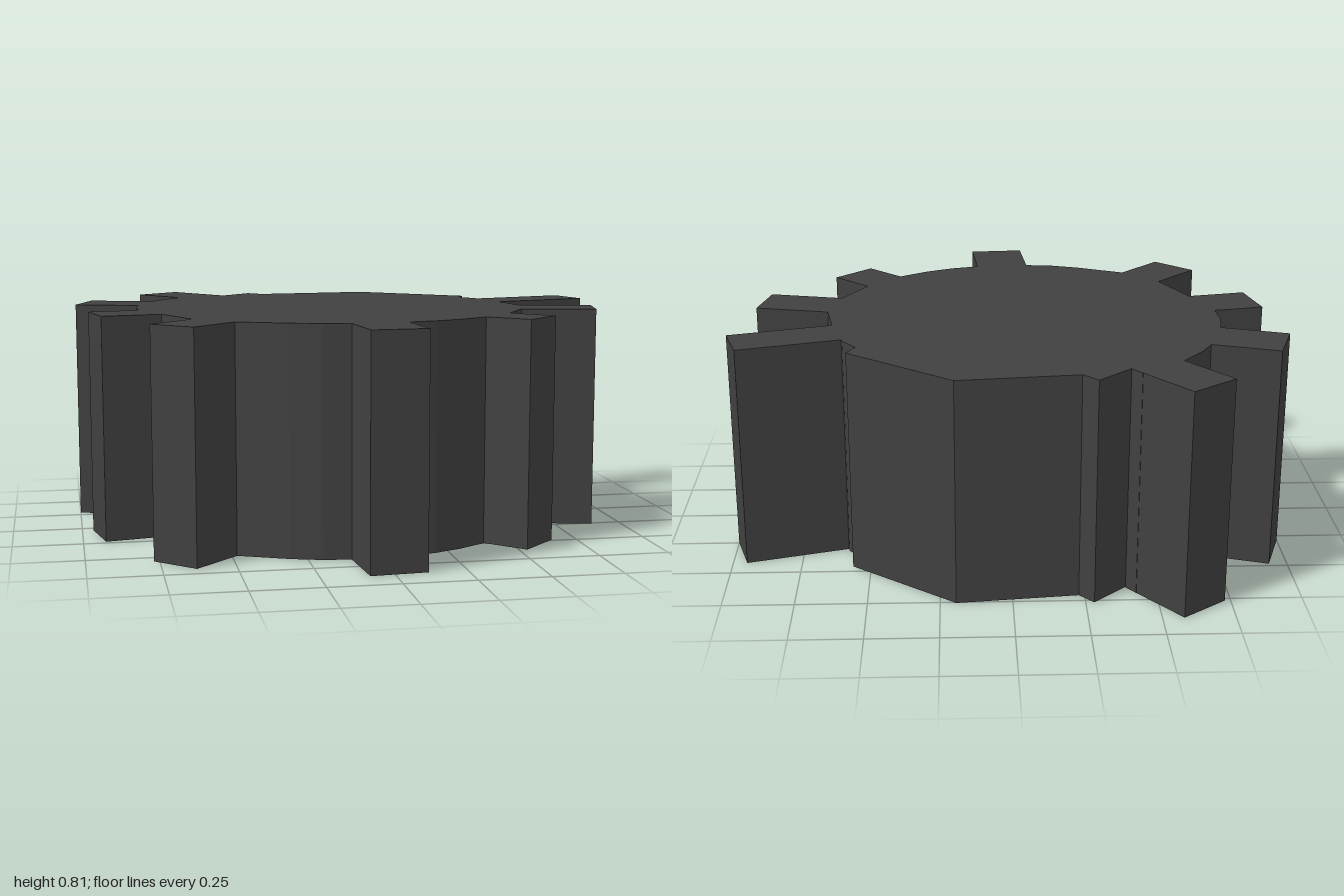
import * as THREE from 'three';

const HEIGHT = 0.81;
const material = new THREE.MeshStandardMaterial({ color: 0x404040, flatShading: true });

// Upright prism from a plan outline of [x, z] points
function prism(name, outline) {
  const shape = new THREE.Shape(outline.map(([x, z]) => new THREE.Vector2(x, -z)));
  const geometry = new THREE.ExtrudeGeometry(shape, { depth: HEIGHT, bevelEnabled: false });
  geometry.rotateX(-Math.PI / 2);
  const mesh = new THREE.Mesh(geometry, material);
  mesh.name = name;
  return mesh;
}

// Rectangular tooth: its outer edge runs a -> b and it reaches inward by length
function tooth(name, a, b, length) {
  const dx = b[0] - a[0], dz = b[1] - a[1];
  const k = length / Math.hypot(dx, dz);
  const inward = ([x, z]) => [x - dz * k, z + dx * k];
  return prism(name, [a, b, inward(b), inward(a)]);
}

export function createModel() {
  const gear = new THREE.Group();
  gear.name = 'gear';

  // Uneven hub: rounded at the front, wide facets at the back
  gear.add(prism('hub', [
    [0.535, -0.4], [0.585, -0.33], [0.63, -0.16], [0.66, 0.015], [0.62, 0.2],
    [0.53, 0.36], [0.4, 0.5], [0.3, 0.565], [0.2, 0.61], [0.1, 0.635],
    [-0.1, 0.65], [-0.2, 0.64], [-0.31, 0.605], [-0.485, 0.525], [-0.61, 0.4],
    [-0.7, 0.2], [-0.775, 0], [-0.78, -0.11], [-0.765, -0.22], [-0.7, -0.41],
    [-0.66, -0.48], [-0.58, -0.58], [-0.43, -0.7], [-0.4, -0.65],
    [-0.28, -0.765], [-0.23, -0.71], [0.195, -0.755], [0.565, -0.46],
  ]));

  // Teeth, clockwise from above: outer corners and length
  const teeth = [
    ['rightBackTooth', [0.95, -0.42], [1.0, -0.25], 0.4],
    ['rightFrontTooth', [0.93, 0.08], [0.89, 0.26], 0.31],
    ['frontRightTooth', [0.66, 0.49], [0.53, 0.62], 0.22],
    ['frontTooth', [0.115, 0.87], [-0.085, 0.885], 0.27],
    ['frontLeftTooth', [-0.635, 0.685], [-0.77, 0.555], 0.25],
    ['leftFrontTooth', [-0.92, 0.23], [-0.96, 0.035], 0.26],
    ['leftBackTooth', [-1.0, -0.29], [-0.935, -0.485], 0.28],
    ['backTooth', [-0.73, -0.765], [-0.575, -0.885], 0.29],
  ];
  for (const entry of teeth) gear.add(tooth(...entry));

  return gear;
}
